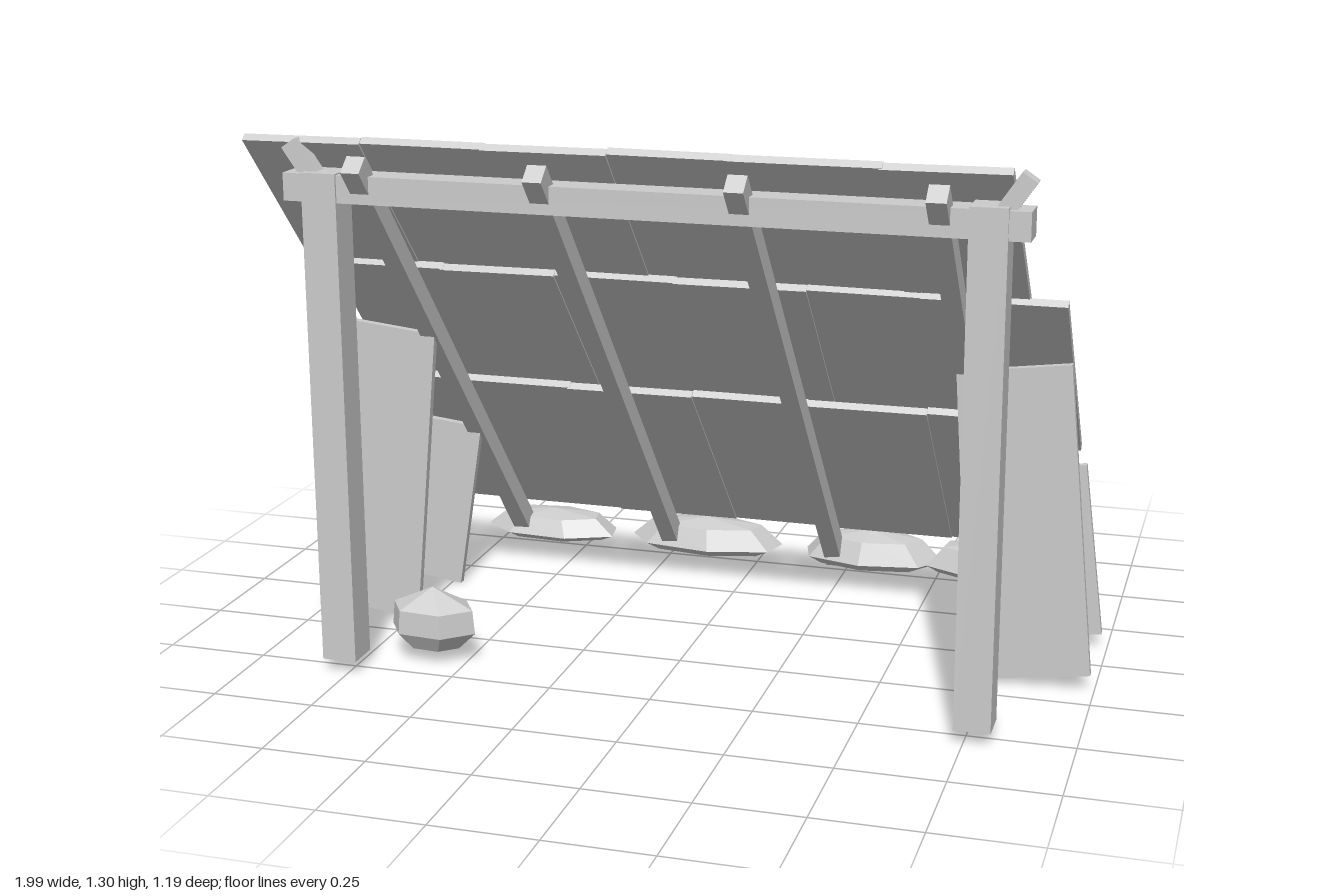
import * as THREE from 'three';

export function createModel() {
  const model = new THREE.Group();
  const grey = new THREE.MeshStandardMaterial({ color: 0xcccccc, flatShading: true });
  grey.name = 'plain grey';

  const add = (geometry, name) => {
    const mesh = new THREE.Mesh(geometry, grey);
    mesh.name = name;
    model.add(mesh);
    return mesh;
  };
  const box = (name, w, h, d, x, y, z) => {
    const mesh = add(new THREE.BoxGeometry(w, h, d), name);
    mesh.position.set(x, y, z);
    return mesh;
  };
  // box running down the slope between a high and a low [z, y] point
  const slope = (name, x, w, thick, [z0, y0], [z1, y1]) => {
    const mesh = box(name, w, thick, Math.hypot(z0 - z1, y0 - y1), x, (y0 + y1) / 2, (z0 + z1) / 2);
    mesh.rotation.x = -Math.atan2(y0 - y1, z0 - z1);
    return mesh;
  };

  // posts with leaning prongs, carrying the cross beam
  for (const s of [-1, 1]) {
    box('post', 0.085, 1.19, 0.085, s * 0.77, 0.635, 0.508);
    box('postProng', 0.04, 0.13, 0.042, s * 0.815, 1.24, 0.508).rotation.z = -s * 0.6;
  }
  box('crossBeam', 1.72, 0.065, 0.078, 0, 1.193, 0.506).rotation.z = -0.002;

  // rafters
  for (const x of [-0.67, -0.235, 0.225, 0.665]) {
    slope('rafter', x, 0.045, 0.05, [0.575, 1.258], [-0.49, 0.045]);
  }

  // three overlapping rows of roof boards
  const rows = [
    { name: 'upperRoofBoard', hi: [0.505, 1.302], lo: [0.09, 0.848],
      seams: [-0.97, -0.68, -0.385, -0.09, 0.19, 0.53, 0.815] },
    { name: 'middleRoofBoard', hi: [0.215, 0.956], lo: [-0.196, 0.501],
      seams: [-0.9, -0.61, -0.32, -0.02, 0.3, 0.57, 0.905] },
    { name: 'lowerRoofBoard', hi: [-0.072, 0.598], lo: [-0.49, 0.142],
      seams: [-0.97, -0.68, -0.39, -0.06, 0.235, 0.54, 0.815] },
  ];
  rows.forEach(({ name, hi, lo, seams }, r) => {
    for (let i = 0; i < 6; i++) {
      const w = seams[i + 1] - seams[i];
      const board = slope(name, (seams[i] + seams[i + 1]) / 2, w + 0.004, 0.02, hi, lo);
      const wobble = ((i * 3 + r * 2) % 5) - 2;
      board.rotateY(wobble * 0.005);
      board.translateY(wobble * 0.0012);
    }
  });

  // leaning side boards, two on each side
  const sideBoard = (name, corners, z) => {
    const shape = new THREE.Shape(corners.map(([x, y]) => new THREE.Vector2(x, y)));
    add(new THREE.ExtrudeGeometry(shape, { depth: 0.02, bevelEnabled: false }), name).position.z = z - 0.01;
  };
  sideBoard('tallSideBoard', [[-1, 0.05], [-0.725, 0.01], [-0.655, 0.77], [-0.935, 0.8]], 0.165);
  sideBoard('tallSideBoard', [[0.7, 0.01], [0.99, 0.05], [0.917, 0.805], [0.65, 0.77]], 0.165);
  sideBoard('shortSideBoard', [[-1, 0.045], [-0.725, 0.008], [-0.655, 0.45], [-0.93, 0.48]], -0.125);
  sideBoard('shortSideBoard', [[0.7, 0.008], [0.985, 0.045], [0.93, 0.48], [0.655, 0.45]], -0.125);

  // faceted stones: a lathe profile stretched to size
  const stone = (name, profile, sides, size, at, turn) => {
    const points = profile.map(([r, y]) => new THREE.Vector2(r, y));
    const geometry = new THREE.LatheGeometry(points, sides);
    geometry.rotateY(turn);
    geometry.scale(size[0] / 2, size[1], size[2] / 2);
    add(geometry, name).position.set(...at);
  };
  const flat = [[0, 0], [0.8, 0], [1, 0.2], [0.72, 0.8], [0, 1]];
  const round = [[0, 0], [0.6, 0.02], [1, 0.3], [0.95, 0.68], [0, 1]];
  const feet = [[-0.595, 0.39, 0.075], [-0.145, 0.44, 0.09], [0.32, 0.39, 0.095], [0.64, 0.35, 0.09]];
  feet.forEach(([x, w, h], i) => {
    stone('footStone', flat, 7, [w, h, 0.18], [x, 0.035, -0.505], 0.3 + i * 0.7);
  });
  stone('postStone', round, 6, [0.225, 0.155, 0.15], [-0.585, 0.04, 0.4], 0.4);

  return model;
}
